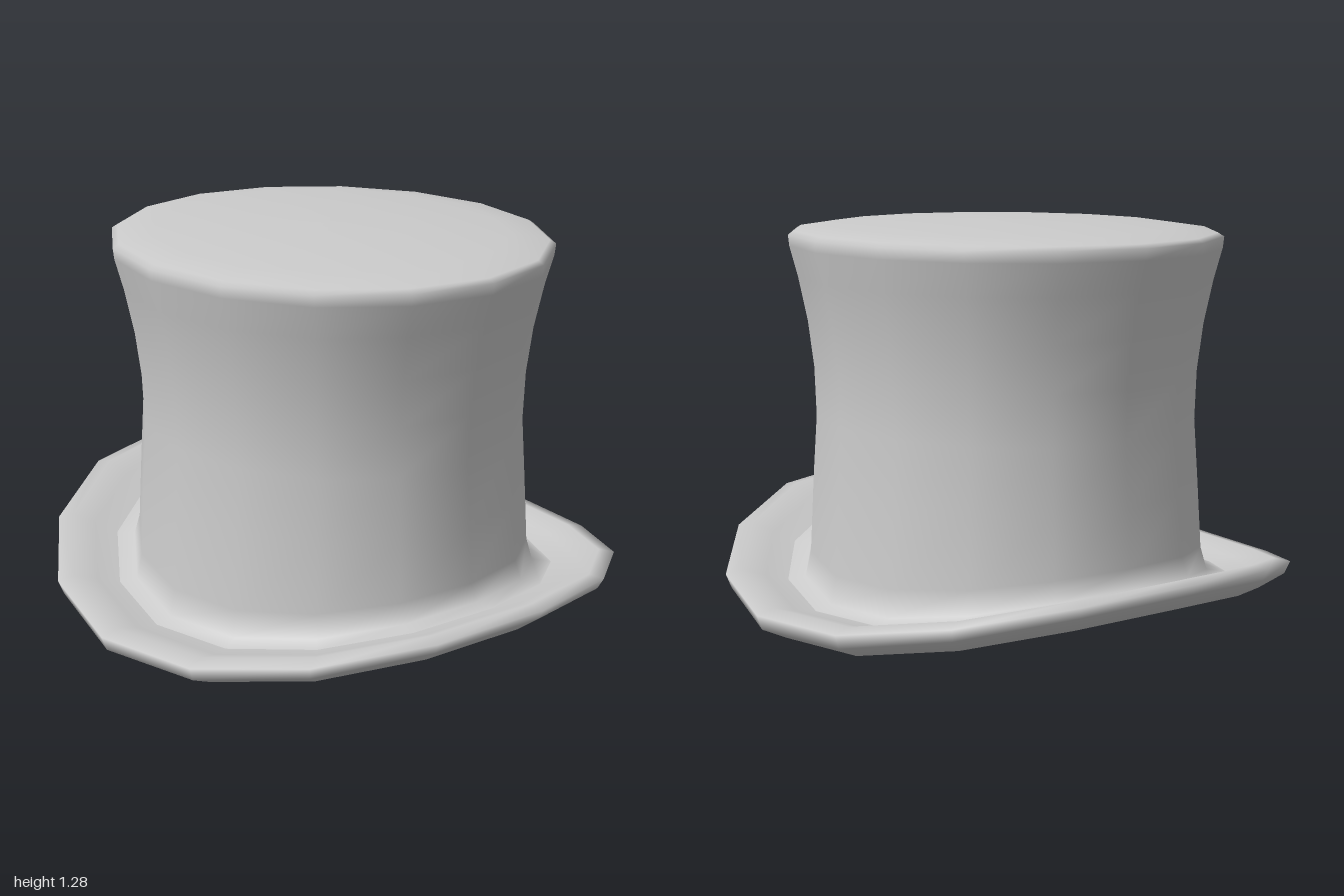
import * as THREE from 'three';

const SEGMENTS = 16;

// Skin elliptical rings listed from bottom/inside to top/outside.
// Each ring: [radius x, radius z, height at the sides, height at front and back]
function loft(name, rings, material) {
  const positions = [];
  const index = [];
  for (const [rx, rz, side, front] of rings) {
    for (let i = 0; i < SEGMENTS; i++) {
      const a = (i / SEGMENTS) * Math.PI * 2;
      const c = Math.cos(a);
      positions.push(rx * c, front + (side - front) * c * c, rz * Math.sin(a));
    }
  }
  for (let r = 0; r < rings.length - 1; r++) {
    for (let i = 0; i < SEGMENTS; i++) {
      const j = (i + 1) % SEGMENTS;
      const a = r * SEGMENTS + i, b = r * SEGMENTS + j;
      const c = a + SEGMENTS, d = b + SEGMENTS;
      index.push(a, c, b, b, c, d);
    }
  }
  const geometry = new THREE.BufferGeometry();
  geometry.setAttribute('position', new THREE.Float32BufferAttribute(positions, 3));
  geometry.setIndex(index);
  geometry.computeVertexNormals();
  const mesh = new THREE.Mesh(geometry, material);
  mesh.name = name;
  return mesh;
}

export function createModel() {
  const group = new THREE.Group();
  group.name = 'topHat';
  const felt = new THREE.MeshStandardMaterial({ color: 0xcccccc, side: THREE.DoubleSide });

  // Saddle-shaped brim: closed underside, rounded lip, then the upper face
  group.add(loft('brim', [
    [0.002, 0.002, 0.085, 0.085],
    [0.36, 0.31, 0.105, 0.062],
    [0.77, 0.69, 0.155, 0.004],
    [0.90, 0.81, 0.195, 0.01],
    [0.98, 0.89, 0.26, 0.05],
    [1.0, 0.907, 0.295, 0.098],
    [0.955, 0.85, 0.302, 0.112],
    [0.88, 0.775, 0.262, 0.09],
    [0.79, 0.705, 0.222, 0.078],
  ], felt));

  // Waisted crown wall with a fillet at the foot and a slightly domed top
  const ratio = 0.91;
  const wall = [
    [0.679, 0.45], [0.664, 0.65], [0.669, 0.81], [0.688, 0.96], [0.718, 1.10],
    [0.746, 1.20], [0.75, 1.235], [0.73, 1.247], [0.60, 1.264], [0.30, 1.277], [0.002, 1.28],
  ].map(([r, y]) => [r, r * ratio, y, y]);
  group.add(loft('crown', [
    [0.79, 0.705, 0.222, 0.078],
    [0.72, 0.65, 0.215, 0.09],
    [0.695, 0.632, 0.27, 0.18],
    ...wall,
  ], felt));

  return group;
}
